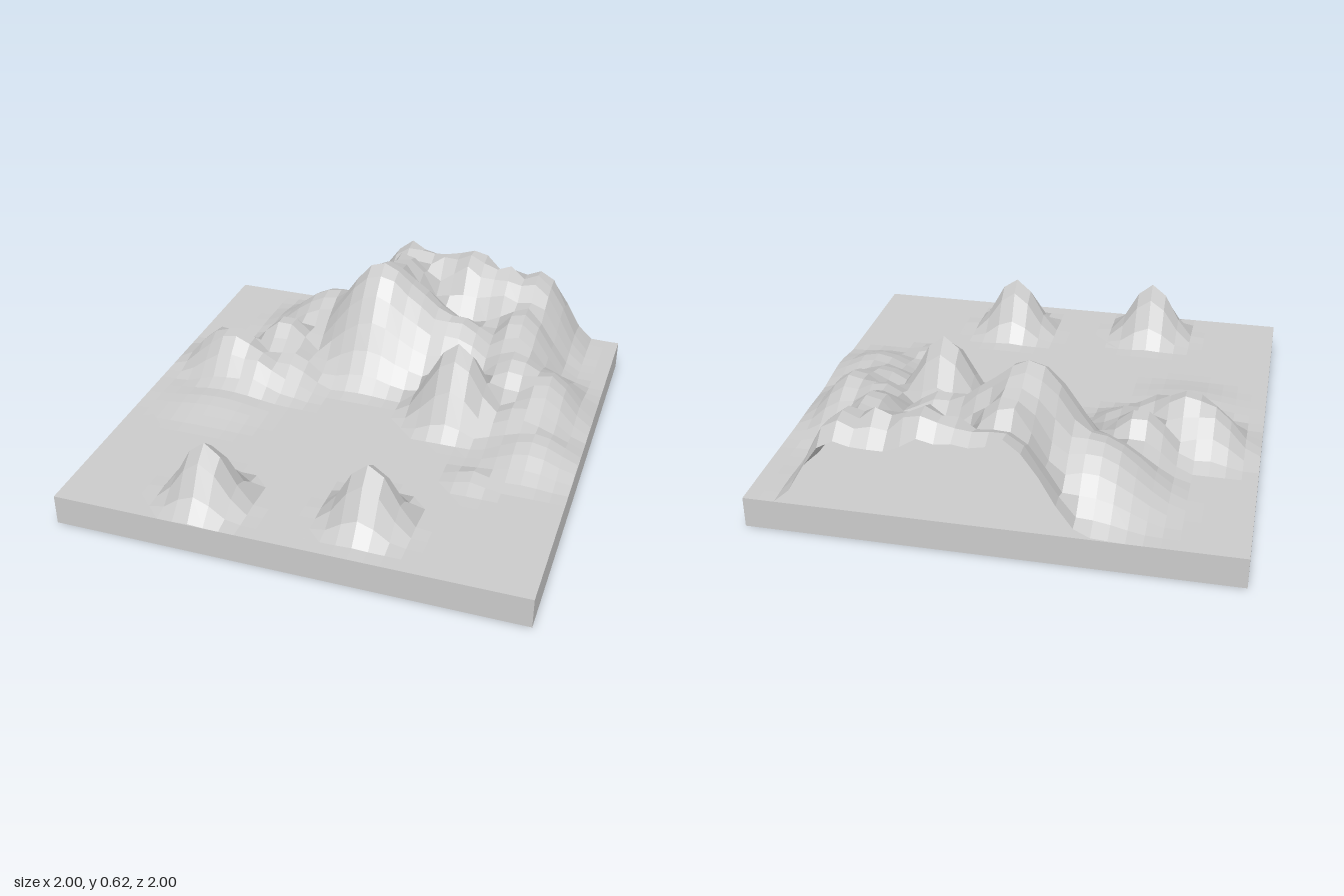
import * as THREE from 'three';

const SLAB = 0.133;   // slab thickness
const CELLS = 30;     // terrain grid cells per side
const STEP = 2 / CELLS;

// Hills: [x, z, radius x, radius z, height above the slab]
const hills = [
  // two lone peaks at the front
  [-0.4, 0.8, 0.22, 0.22, 0.267],
  [0.27, 0.73, 0.22, 0.22, 0.267],
  // sharp peak right of the centre
  [0.4, -0.13, 0.27, 0.27, 0.355],
  // main mountain, the ridge behind it and its gentle left flank
  [-0.07, -0.54, 0.45, 0.45, 0.49],
  [-0.03, -0.74, 0.34, 0.4, 0.44],
  [0.1, -0.55, 0.35, 0.43, 0.36],
  [-0.35, -0.65, 0.42, 0.4, 0.24],
  // plateau cut off by the back edge
  [-0.05, -0.97, 0.36, 0.4, 0.4],
  [0.12, -0.92, 0.3, 0.36, 0.4],
  [0.27, -0.89, 0.35, 0.4, 0.44],
  [0.45, -0.86, 0.3, 0.42, 0.39],
  [0.6, -0.88, 0.29, 0.48, 0.375],
  // slope falling from the plateau towards the front and right
  [0.3, -0.5, 0.4, 0.38, 0.28],
  [0.58, -0.6, 0.29, 0.48, 0.3],
  [0.62, -0.35, 0.3, 0.35, 0.21],
  // right foothills
  [0.78, -0.25, 0.24, 0.4, 0.195],
  [0.72, -0.08, 0.3, 0.3, 0.13],
  [0.8, 0.1, 0.28, 0.3, 0.1],
  [0.6, 0.35, 0.14, 0.13, 0.04],
  [0.95, 0.15, 0.35, 0.2, 0.025],
  // left hills and their low apron
  [-0.68, -0.17, 0.3, 0.26, 0.22],
  [-0.78, -0.22, 0.22, 0.25, 0.18],
  [-0.5, -0.36, 0.26, 0.27, 0.215],
  [-0.55, -0.1, 0.22, 0.2, 0.15],
  [-0.42, -0.22, 0.25, 0.3, 0.13],
  [-0.65, 0.12, 0.33, 0.27, 0.035],
];

// Soft maximum of the bell-shaped hills, slightly roughened on the back plateau
function heightAt(x, z) {
  let sum = 0;
  for (const [cx, cz, rx, rz, top] of hills) {
    const t = Math.hypot((x - cx) / rx, (z - cz) / rz);
    if (t < 1) sum += (top * 0.5 * (1 + Math.cos(Math.PI * t))) ** 8;
  }
  const rough = z < -0.6 && x > -0.2 ? 0.045 : 0.015;
  return sum ** (1 / 8) * (1 + rough * Math.sin(x * 37 + z * 11) * Math.cos(z * 41 - x * 17));
}

// One flat-shaded quad per grid cell that rises above the slab
function terrainGeometry() {
  const positions = [], normals = [], index = [];
  const point = (i, j) => {
    const x = i * STEP - 1, z = j * STEP - 1;
    return new THREE.Vector3(x, SLAB + heightAt(x, z), z);
  };
  for (let i = 0; i < CELLS; i++) {
    for (let j = 0; j < CELLS; j++) {
      const quad = [point(i, j), point(i, j + 1), point(i + 1, j + 1), point(i + 1, j)];
      if (quad.every((p) => p.y < SLAB + 0.0005)) continue;
      const normal = quad[2].clone().sub(quad[0]).cross(quad[3].clone().sub(quad[1])).normalize();
      const k = positions.length / 3;
      for (const p of quad) {
        positions.push(p.x, p.y, p.z);
        normals.push(normal.x, normal.y, normal.z);
      }
      index.push(k, k + 1, k + 2, k, k + 2, k + 3);
    }
  }
  const geo = new THREE.BufferGeometry();
  geo.setAttribute('position', new THREE.Float32BufferAttribute(positions, 3));
  geo.setAttribute('normal', new THREE.Float32BufferAttribute(normals, 3));
  geo.setIndex(index);
  return geo;
}

export function createModel() {
  const model = new THREE.Group();
  model.name = 'terrainModel';

  const slab = new THREE.Mesh(
    new THREE.BoxGeometry(2, SLAB, 2),
    new THREE.MeshStandardMaterial({ color: 0xcccccc })
  );
  slab.name = 'baseSlab';
  slab.position.y = SLAB / 2;

  // thin surface, open where the back edge cuts it
  const terrain = new THREE.Mesh(
    terrainGeometry(),
    new THREE.MeshStandardMaterial({ color: 0xcccccc, side: THREE.DoubleSide })
  );
  terrain.name = 'mountains';

  model.add(slab, terrain);
  return model;
}
